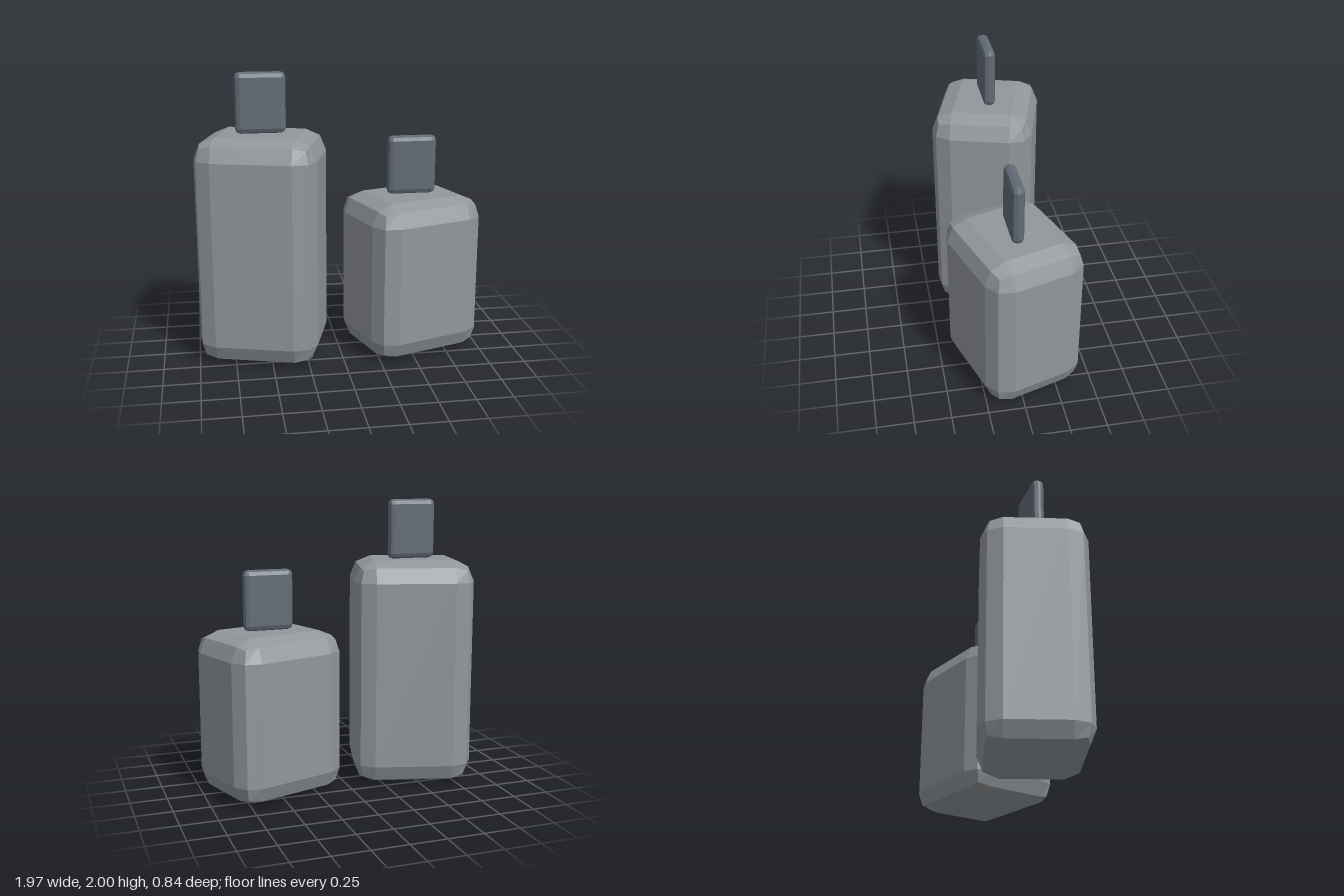
import * as THREE from 'three';
import { RoundedBoxGeometry } from 'three/addons/geometries/RoundedBoxGeometry.js';

const bodyMaterial = new THREE.MeshStandardMaterial({ color: 0x92979b, flatShading: true });
const tabMaterial = new THREE.MeshStandardMaterial({ color: 0x616b76, flatShading: true });

// Box with two-facet bevelled edges, standing on height y
function bevelledBox(name, [w, h, d], radius, y, material) {
  const mesh = new THREE.Mesh(new RoundedBoxGeometry(w, h, d, 1, radius), material);
  mesh.name = name;
  mesh.position.y = y + h / 2;
  return mesh;
}

// A turned block with an upright tab on top that stays square to the front
function block(name, x, height, turn) {
  const group = new THREE.Group();
  group.name = name;
  group.position.x = x;
  const body = bevelledBox('body', [0.836, height, 0.704], 0.145, 0, bodyMaterial);
  body.rotation.y = turn;
  const tab = bevelledBox('tab', [0.345, 0.415, 0.085], 0.035, height, tabMaterial);
  group.add(body, tab);
  return group;
}

export function createModel() {
  const model = new THREE.Group();
  model.name = 'tabbedBlocks';
  model.add(
    block('tallBlock', -0.53, 1.585, -0.28),
    block('shortBlock', 0.523, 1.125, 0.31),
  );
  return model;
}
